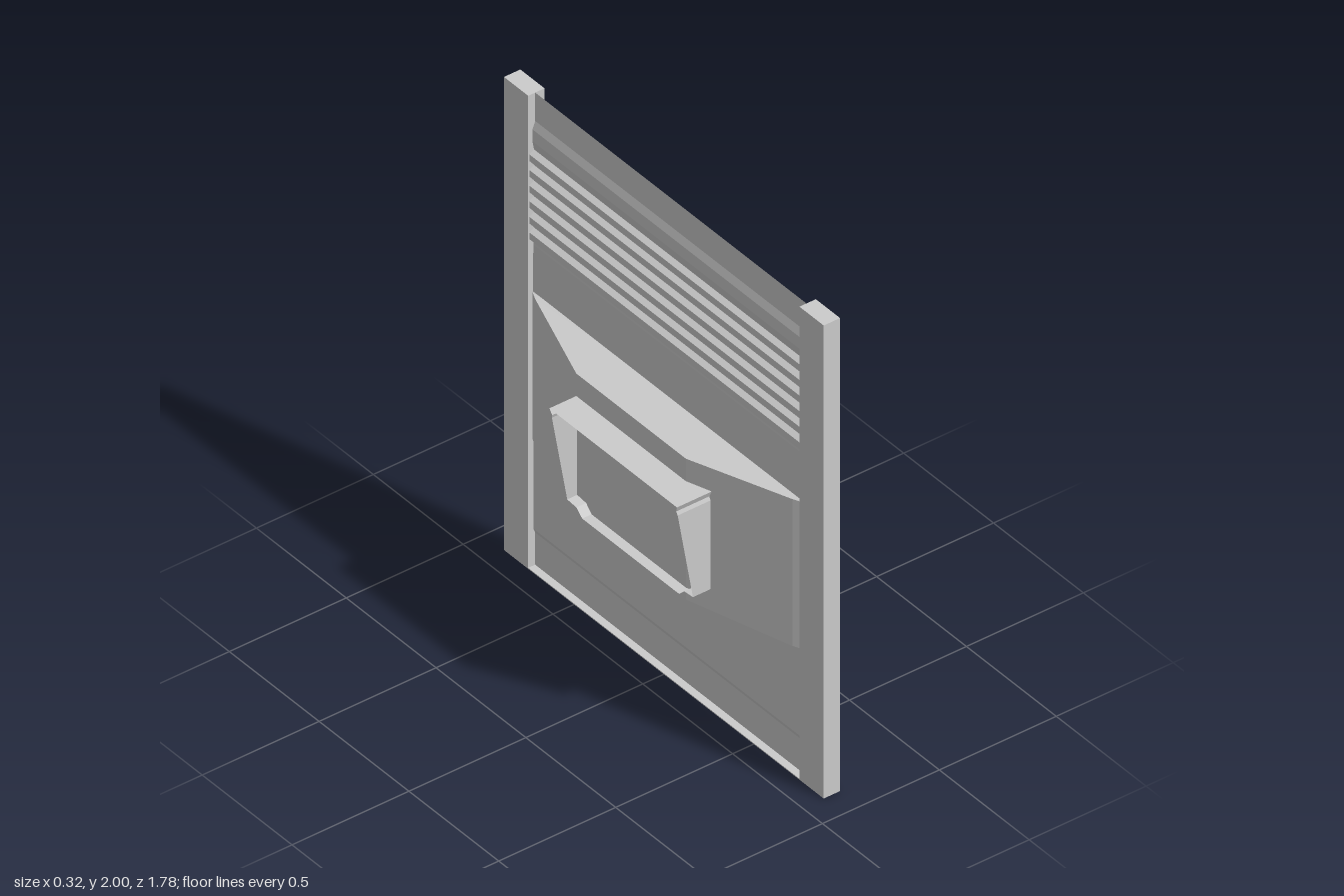
import * as THREE from 'three';

const mat = new THREE.MeshStandardMaterial({ color: 0xcccccc, flatShading: true, side: THREE.DoubleSide });

// Skin a list of equally long point rows
function surface(rows, closed = false) {
  const n = rows[0].length, idx = [];
  for (let i = 0; i < rows.length - 1; i++) {
    for (let j = 0; j < (closed ? n : n - 1); j++) {
      const k = (j + 1) % n;
      const a = i * n + j, b = i * n + k, c = a + n, d = b + n;
      idx.push(a, b, c, b, d, c);
    }
  }
  let g = new THREE.BufferGeometry();
  g.setAttribute('position', new THREE.Float32BufferAttribute(rows.flat(2), 3));
  g.setIndex(idx);
  g = g.toNonIndexed();
  g.computeVertexNormals();
  return g;
}

export function createModel() {
  const model = new THREE.Group();
  const add = (name, geo) => {
    const m = new THREE.Mesh(geo, mat);
    m.name = name;
    model.add(m);
    return m;
  };

  // Upright posts on both edges
  for (const s of [1, -1]) {
    add(s > 0 ? 'frontPost' : 'rearPost', new THREE.BoxGeometry(0.07, 2, 0.135))
      .position.set(0.125, 1, s * 0.8225);
  }

  // Narrow flange along the foot of the panel
  add('bottomFlange', new THREE.BoxGeometry(0.03, 0.004, 1.51)).position.set(0.105, 0.002, 0);

  // Pressed panel: flat rows, a recess in the middle, horizontal ribs above
  const zs = [0.755, 0.715, 0.305, -0.305, -0.715, -0.755];
  const flat = (y, x) => zs.map(z => [x, y, z]);
  const recessX = [0.108, 0.09, -0.05, -0.05, 0.09, 0.108];
  const recess = (yMid, ySide) => zs.map((z, i) =>
    [recessX[i], i === 2 || i === 3 ? yMid : ySide, z]);
  const rows = [
    flat(0, 0.12), flat(0.14, 0.12), flat(0.16, 0.112), flat(0.54, 0.112),
    recess(0.56, 0.542), recess(1.155, 1.163),
    flat(1.165, 0.11), flat(1.36, 0.112),
  ];
  for (let i = 0; i < 6; i++) {
    const y = 1.38 + i * 0.066;
    rows.push(flat(y, 0.115), flat(y + 0.012, 0.095), flat(y + 0.04, 0.095), flat(y + 0.052, 0.115));
  }
  rows.push(flat(1.8, 0.108), flat(1.85, 0.108), flat(1.88, 0.12), flat(2, 0.12));
  add('pressedPanel', surface(rows));

  // Slanted tray standing through the recess, open at the back
  const half = [[0.355, 1.06], [0.345, 1.035], [0.35, 1.02], [0.35, 0.645],
    [0.3, 0.64], [0.27, 0.61]];
  const outline = [...half, ...half.map(([z, y]) => [-z, y]).reverse()];
  const zMid = 0.05, yMid = 0.84;
  const backX = y => -0.165 + 0.075 * Math.min(1, (1.06 - y) / 0.43);
  const ring = (depth, scale) => outline.map(([z, y]) => {
    const yy = yMid + (y - yMid) * scale;
    return [backX(yy) + depth, yy, zMid + z * scale];
  });
  add('tray', surface([ring(0, 1), ring(0.18, 1), ring(0.19, 0.94), ring(0.19, 0)], true));

  return model;
}
